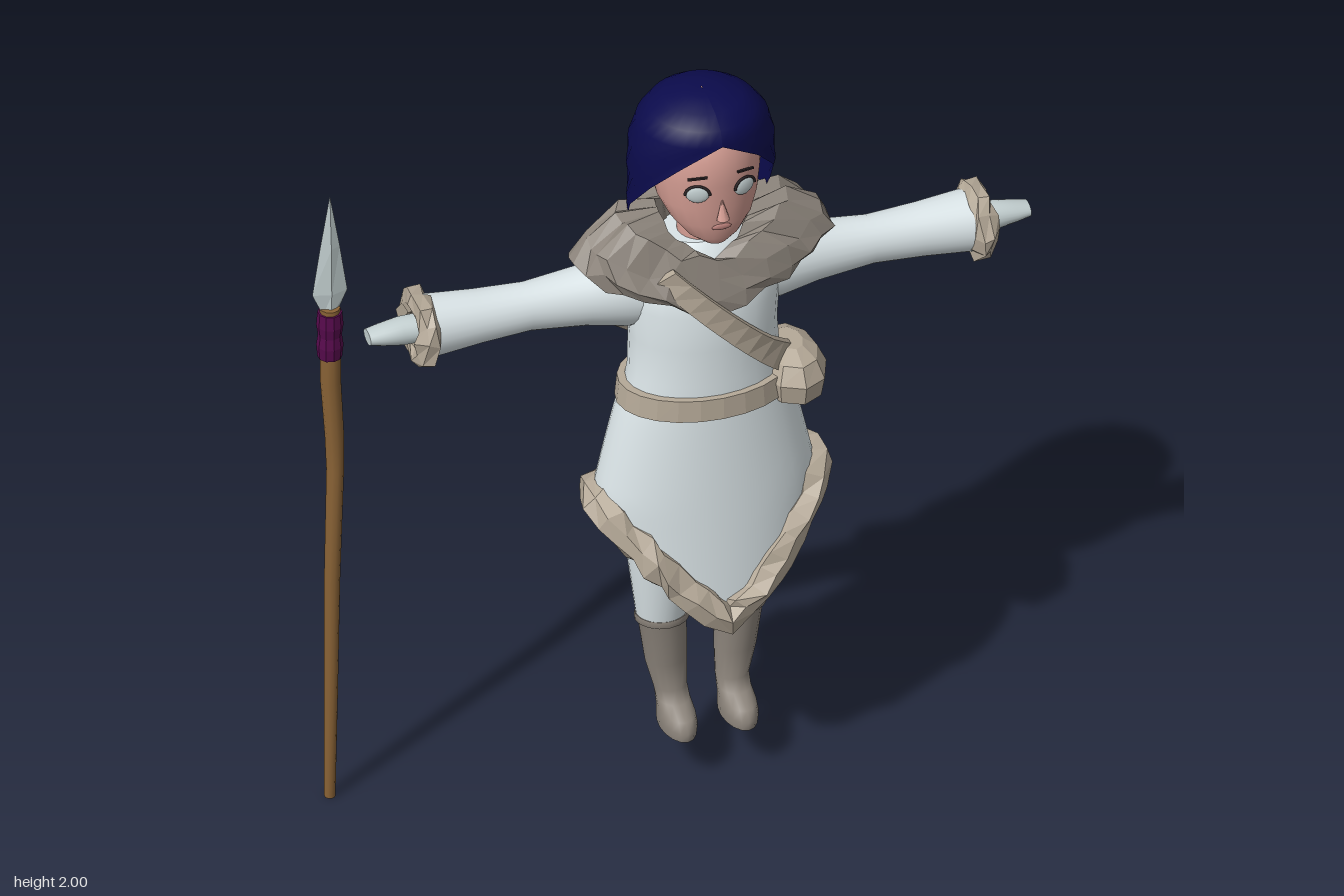
import * as THREE from 'three';
import { mergeVertices } from 'three/addons/utils/BufferGeometryUtils.js';

const paint = (name, color, side = THREE.FrontSide) => {
  const m = new THREE.MeshStandardMaterial({ color, side });
  m.name = name;
  return m;
};

let seed = 7;
const rnd = () => ((seed = (seed * 16807) % 2147483647) / 2147483647) - 0.5;

// Surface through a list of point rings, ordered bottom to top
function loft(rings, { closed = true, caps = true, flat = false } = {}) {
  const n = rings[0].length, pos = [], idx = [];
  rings.forEach(r => r.forEach(p => pos.push(...p)));
  for (let i = 0; i < rings.length - 1; i++)
    for (let j = 0; j < (closed ? n : n - 1); j++) {
      const k = (j + 1) % n, a = i * n + j, b = i * n + k;
      idx.push(a, b, b + n, a, b + n, a + n);
    }
  if (caps) [0, rings.length - 1].forEach((ri, top) => {
    const c = pos.length / 3;
    for (let d = 0; d < 3; d++) pos.push(rings[ri].reduce((s, p) => s + p[d], 0) / n);
    const base = pos.length / 3;
    rings[ri].forEach(p => pos.push(...p));
    for (let j = 0; j < n; j++) {
      const a = base + j, b = base + (j + 1) % n;
      top ? idx.push(c, a, b) : idx.push(c, b, a);
    }
  });
  let g = new THREE.BufferGeometry();
  g.setAttribute('position', new THREE.Float32BufferAttribute(pos, 3));
  g.setIndex(idx);
  if (flat) g = g.toNonIndexed();
  g.computeVertexNormals();
  return g;
}

// Horizontal oval from half width and front/back depth; a gap angle leaves the front open
function oval(y, hw, zf, zb, cx = 0, n = 24, gap = null) {
  const zc = (zf + zb) / 2, d = (zf - zb) / 2, g = gap ?? 0;
  return Array.from({ length: n }, (_, j) => {
    const a = gap === null ? (j / n) * Math.PI * 2 : g + (j / (n - 1)) * (Math.PI * 2 - 2 * g);
    return [cx + hw * Math.sin(a), y, zc + d * Math.cos(a)];
  });
}

// Chunky faceted fur roll along a path
function furRoll(points, radius, segs, closed, jitter = 0.022) {
  const curve = new THREE.CatmullRomCurve3(points.map(p => new THREE.Vector3(...p)), closed);
  let g = new THREE.TubeGeometry(curve, segs, radius, 6, closed);
  g.deleteAttribute('uv');
  g.deleteAttribute('normal');
  g = mergeVertices(g, 1e-4);
  const p = g.attributes.position;
  for (let i = 0; i < p.count; i++)
    p.setXYZ(i, p.getX(i) + rnd() * jitter, p.getY(i) + rnd() * jitter, p.getZ(i) + rnd() * jitter);
  g = g.toNonIndexed();
  g.computeVertexNormals();
  return g;
}

export function createModel() {
  const D = THREE.DoubleSide;
  const hairBlue = paint('hairBlue', 0x0b0b4c, D), skin = paint('skin', 0xd39c92);
  const white = paint('whiteCloth', 0xe0eaed, D), tan = paint('tanFur', 0xb5a998, D);
  const grey = paint('greyFur', 0x8c847b, D), wood = paint('wood', 0x8a6336);
  const purple = paint('purpleWrap', 0x560a4c), dark = paint('darkLine', 0x2a2224);
  const pale = paint('paleGrey', 0xc3cfd0), lip = paint('lip', 0xb97f79);

  const model = new THREE.Group(), body = new THREE.Group();
  body.name = 'figure';
  body.position.x = 0.055;
  model.add(body);
  const add = (name, geo, mat, parent = body) => {
    const m = new THREE.Mesh(geo, mat);
    m.name = name;
    parent.add(m);
    return m;
  };
  const stack = (rows, opt) => loft(rows.map(r => oval(...r)), opt);

  // Head and neck
  add('head', stack([[1.612, 0.03, 0.155, 0.1], [1.635, 0.068, 0.168, 0.05], [1.68, 0.105, 0.178, 0],
    [1.73, 0.129, 0.18, -0.06], [1.8, 0.141, 0.184, -0.1], [1.87, 0.138, 0.182, -0.11],
    [1.93, 0.115, 0.15, -0.1], [1.97, 0.05, 0.08, -0.04]]), skin);
  add('neck', stack([[1.48, 0.06, 0.07, -0.05], [1.68, 0.055, 0.07, -0.05]]), skin);
  const nose = add('nose', new THREE.ConeGeometry(0.017, 0.06, 8), skin);
  nose.position.set(0, 1.735, 0.184);
  nose.rotation.x = -0.15;
  add('mouth', new THREE.SphereGeometry(1, 12, 6), lip).position.set(0, 1.677, 0.177);
  body.children.at(-1).scale.set(0.026, 0.009, 0.005);
  for (const s of [1, -1]) {
    const eye = new THREE.Group();
    eye.name = 'eye';
    eye.position.set(s * 0.061, 1.783, 0.17);
    eye.rotation.y = s * 0.35;
    body.add(eye);
    add('eyeball', new THREE.SphereGeometry(1, 16, 8), pale, eye).scale.set(0.03, 0.025, 0.009);
    const lid = add('eyelid', new THREE.TorusGeometry(0.031, 0.004, 5, 12, Math.PI), dark, eye);
    lid.scale.set(1, 0.85, 1);
    lid.position.z = 0.004;
    const brow = add('eyebrow', new THREE.BoxGeometry(0.05, 0.005, 0.006), dark, eye);
    brow.position.set(0, 0.05, 0.006);
    brow.rotation.z = -s * 0.15;
  }

  // Hair: cap with a front opening that widens downward, long at the back
  add('hair', stack([[1.4, 0.08, 0.02, -0.178, 0, 33, 2.2], [1.44, 0.13, 0.05, -0.175, 0, 33, 2.0],
    [1.52, 0.168, 0.1, -0.168, 0, 33, 1.85], [1.6, 0.18, 0.15, -0.16, 0, 33, 1.75],
    [1.68, 0.184, 0.18, -0.158, 0, 33, 1.55], [1.78, 0.187, 0.19, -0.154, 0, 33, 1.05],
    [1.86, 0.184, 0.19, -0.148, 0, 33, 0.58], [1.92, 0.167, 0.184, -0.13, 0, 33, 0],
    [1.96, 0.137, 0.17, -0.105, 0, 33, 0], [1.985, 0.1, 0.13, -0.07, 0, 33, 0],
    [1.999, 0.045, 0.07, -0.02, 0, 33, 0], [1.998, 0.001, 0.03, 0.02, 0, 33, 0]],
  { closed: false, caps: false }), hairBlue);

  // Torso and belt
  add('torso', stack([[1.1, 0.215, 0.18, -0.1], [1.2, 0.195, 0.175, -0.1], [1.3, 0.19, 0.172, -0.11],
    [1.4, 0.198, 0.172, -0.12], [1.5, 0.188, 0.145, -0.11], [1.57, 0.1, 0.08, -0.08]]), white);
  add('belt', stack([[1.11, 0.228, 0.196, -0.115], [1.17, 0.222, 0.193, -0.112]], { flat: true }), tan);

  // Arms, cuffs and mittens
  for (const s of [1, -1]) {
    const arm = new THREE.Group();
    arm.name = s > 0 ? 'leftArm' : 'rightArm';
    arm.position.set(0, 1.42, -0.005);
    arm.rotation.z = -s * Math.PI / 2;
    body.add(arm);
    add('sleeve', stack([[0.1, 0.1, 0.1, -0.1], [0.2, 0.1, 0.09, -0.09], [0.3, 0.078, 0.075, -0.075],
      [0.45, 0.063, 0.06, -0.06], [0.58, 0.069, 0.069, -0.069], [0.72, 0.081, 0.083, -0.083]]), white, arm);
    add('cuff', furRoll(Array.from({ length: 10 }, (_, i) => {
      const a = (i / 10) * Math.PI * 2;
      return [0.076 * Math.sin(a), 0.73, 0.076 * Math.cos(a)];
    }), 0.03, 12, true, 0.018), tan, arm);
    add('mitten', stack([[0.7, 0.036, 0.04, -0.04], [0.78, 0.036, 0.038, -0.038],
      [0.83, 0.026, 0.034, -0.034], [0.866, 0.018, 0.028, -0.028]]), pale, arm);
  }

  // Legs and boots
  for (const s of [1, -1]) {
    add('trouserLeg', stack([[0.42, s * 0.062, 0.07, -0.045], [0.6, 0.085, 0.1, -0.07],
      [0.8, 0.1, 0.12, -0.085], [1.05, 0.1, 0.14, -0.09]]
      .map(([y, w, f, b]) => [y, Math.abs(w), f, b, s * 0.102])), white);
    add('boot', stack([[0.125, 0.044, 0.152, -0.022, 0.08], [0.15, 0.046, 0.156, -0.023, 0.08],
      [0.175, 0.044, 0.14, -0.022, 0.08], [0.195, 0.042, 0.09, -0.021, 0.08],
      [0.22, 0.043, 0.06, -0.021, 0.081], [0.3, 0.054, 0.062, -0.034, 0.091],
      [0.42, 0.062, 0.071, -0.045, 0.1], [0.425, 0.07, 0.078, -0.05, 0.101],
      [0.442, 0.068, 0.075, -0.048, 0.101]]
      .map(([y, w, f, b, c]) => [y, w, f, b, s * c, 16])), grey);
  }

  // Skirt with pointed front and back, high at the hips
  const skirtPoint = (a, t) => {
    const s = Math.abs(Math.sin(a)), c = Math.cos(a);
    const hem = c > 0 ? 0.535 + 0.31 * s ** 1.25 : 0.635 + 0.21 * s;
    const y = THREE.MathUtils.lerp(hem, 1.15, t), u = 1.15 - y;
    const hw = 0.21 + 0.075 * Math.min(1, u / 0.3) ** 0.85;
    const zf = 0.185 + 0.06 * u, zb = -0.1 - 0.085 * u;
    return [hw * Math.sin(a), y, (zf + zb) / 2 + (zf - zb) / 2 * c];
  };
  const around = (n, f) => Array.from({ length: n }, (_, i) => f((i / n) * Math.PI * 2));
  add('skirt', loft(Array.from({ length: 11 }, (_, i) => around(40, a => skirtPoint(a, i / 10))),
    { caps: false }), white);
  add('skirtFur', furRoll(around(24, a => skirtPoint(a, 0)), 0.042, 36, true, 0.02), tan);

  // Shoulder collar of grey fur, dipping to a point in front
  const collar = around(30, a => {
    const dip = 0.09 * Math.max(0, Math.cos(a)) ** 3;
    return [[0.1, 0.09, 1.52], [0.115, 0.1, 1.64], [0.22, 0.125, 1.645], [0.31, 0.145, 1.59],
      [0.338, 0.158, 1.54], [0.31, 0.152, 1.505]].map(([rx, rz, y], k) => {
      const j = k ? 1 + rnd() * 0.1 : 1;
      return [rx * j * Math.sin(a), y - dip + rnd() * 0.03, 0.02 + rz * j * Math.cos(a)];
    });
  });
  add('collar', loft([...collar, collar[0]], { caps: false, flat: true }), grey);

  // Hood hanging on the back, with its fur rim
  const hood = add('hood', new THREE.SphereGeometry(1, 20, 12), white);
  hood.position.set(0, 1.33, -0.1);
  hood.scale.set(0.19, 0.17, 0.085);
  add('hoodFur', furRoll([[-0.19, 1.43, -0.08], [-0.205, 1.31, -0.125], [-0.13, 1.21, -0.18],
    [0, 1.175, -0.195], [0.13, 1.21, -0.18], [0.205, 1.31, -0.125], [0.19, 1.43, -0.08]],
  0.043, 16, false), tan);

  // Pouch at the left hip and its strap across the chest
  const pouch = add('pouch', stack([[-1, 0.5, 0.5, -0.5], [-0.6, 0.9, 0.9, -0.9], [0.1, 1, 1, -1],
    [0.7, 0.75, 0.8, -0.8], [1, 0.35, 0.4, -0.4]].map(r => [...r, 0, 9]), { flat: true }), tan);
  pouch.position.set(0.215, 1.145, 0.07);
  pouch.scale.set(0.09, 0.078, 0.13);
  add('strap', loft(Array.from({ length: 10 }, (_, i) => {
    const t = i / 9, x = -0.14 + 0.34 * t, y = 1.535 - 0.345 * t;
    const z = x2 => 0.04 + 0.145 * Math.sqrt(Math.max(0.05, 1 - (x2 / 0.21) ** 2));
    const corner = (w, d) => [x + w, y + w, z(x + w) + d];
    return [corner(-0.022, -0.01), corner(-0.022, 0.01), corner(0.022, 0.01), corner(0.022, -0.01)];
  }), { flat: true }), tan);

  // Spear standing beside the right hand
  const spear = new THREE.Group();
  spear.name = 'spear';
  spear.position.set(-0.88, 0, -0.09);
  model.add(spear);
  add('shaft', stack([[0, 0.014, 0], [0.3, 0.017, 0.003], [0.65, 0.02, 0.006], [0.98, 0.022, 0.014],
    [1.08, 0.024, 0.012], [1.25, 0.026, 0.002], [1.47, 0.026, 0]]
    .map(([y, r, x]) => [y, r, r, -r, x, 10])), wood, spear);
  add('gripWrap', stack([[1.325, 0.031], [1.36, 0.034], [1.39, 0.03], [1.42, 0.034], [1.458, 0.031]]
    .map(([y, r]) => [y, r, r, -r, 0, 10]), { flat: true }), purple, spear);
  add('blade', stack([[1.45, 0.018, 0.012], [1.515, 0.046, 0.015], [1.65, 0.026, 0.012], [1.8, 0.001, 0.001]]
    .map(([y, w, d]) => [y, w, d, -d, 0, 4]), { flat: true }), pale, spear);

  return model;
}
